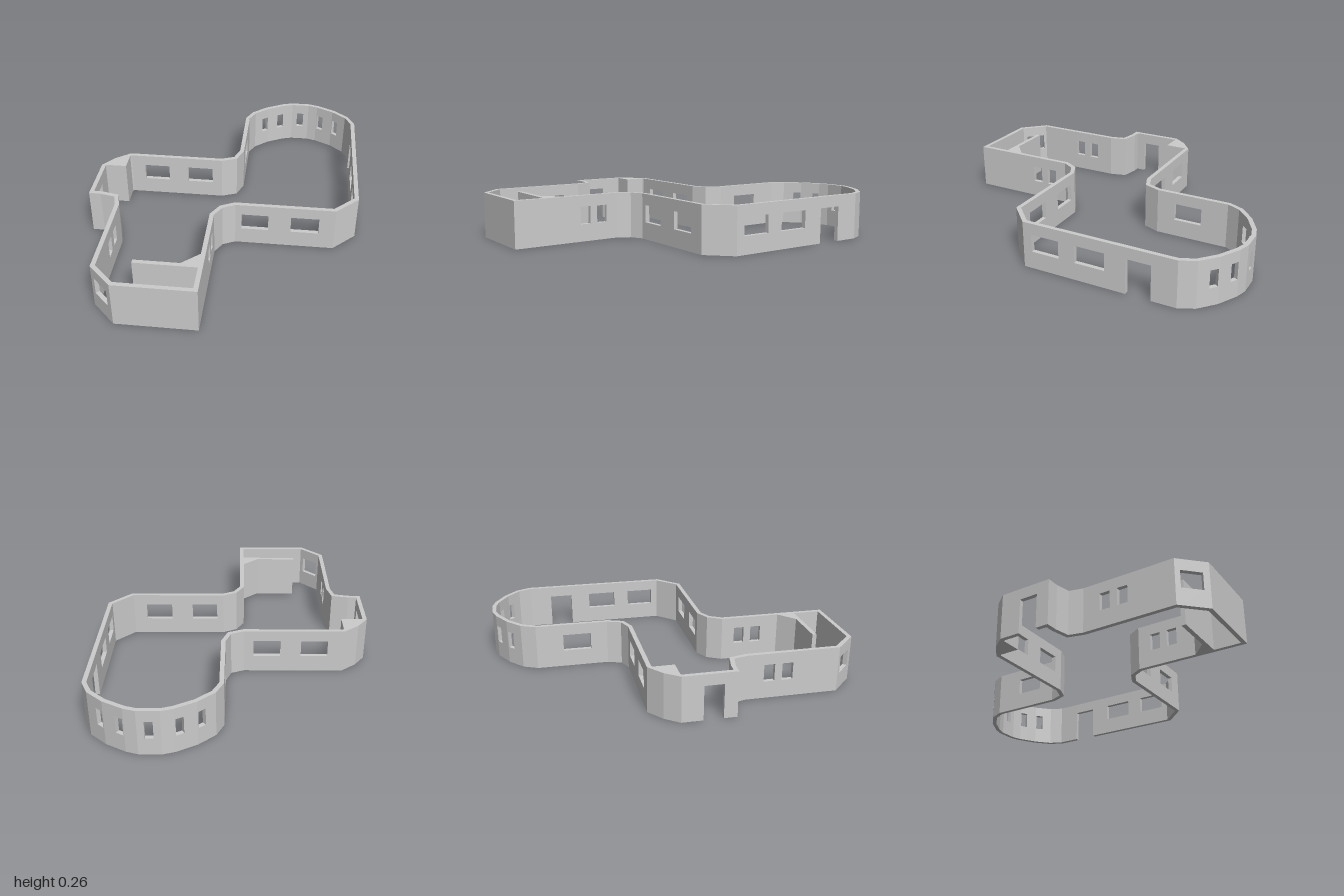
import * as THREE from 'three';

const H = 0.265, T = 0.025;          // wall height and thickness
const LEVELS = [0, 0.1, 0.2, H];     // floor, sill, lintel, top

// Rounded end, left half; the right half mirrors it about ARC_X
const ARC_X = 0.415;
const arcHalf = [[0.05, -0.755], [0.09, -0.84], [0.18, -0.92], [0.29, -0.98], [0.355, -1]];
const flip = ([x, z]) => [2 * ARC_X - x, z];

// Outer outline, clockwise seen from above
const outline = [
  [0.78, 0.13], [0.65, 0.26], [0.08, 0.26], [0.01, 0.295], [-0.03, 0.365],
  [-0.03, 1], [-0.475, 1], [-0.605, 0.87], [-0.605, 0.335], [-0.625, 0.255],
  [-0.71, 0.237], [-0.78, 0.235], [-0.78, -0.07], [-0.72, -0.15], [-0.63, -0.22],
  [-0.055, -0.22], [0.02, -0.25], [0.05, -0.33],
  ...arcHalf, ...arcHalf.map(flip).reverse(),
].map(([x, z]) => new THREE.Vector2(x, z));

// Openings, each given by its two ends on the outline
const windows = [
  [[0.78, 0.08], [0.78, -0.085]], [[0.78, -0.18], [0.78, -0.355]],
  [[0.115, 0.26], [0.27, 0.26]], [[0.4, 0.26], [0.56, 0.26]],
  [[-0.5, 0.975], [-0.585, 0.89]],
  [[-0.11, -0.22], [-0.265, -0.22]], [[-0.385, -0.22], [-0.54, -0.22]],
  [[0.05, -0.43], [0.05, -0.595]],
  [[0.393, -1], [0.437, -1]],
];
for (const x of [-0.03, -0.605])
  for (const z of [0.435, 0.54]) windows.push([[x, z], [x, z + 0.062]]);
for (const w of [[[0.14, -0.885], [0.175, -0.915]], [[0.245, -0.955], [0.284, -0.977]]])
  windows.push(w, w.map(flip));
const doors = [[[0.78, -0.475], [0.78, -0.615]], [[-0.78, 0.05], [-0.78, 0.16]]];

const N = outline.length;
const edges = outline.map((a, i) => {
  const b = outline[(i + 1) % N];
  const dir = b.clone().sub(a), len = dir.length();
  dir.divideScalar(len);
  return { a, dir, len, inward: new THREE.Vector2(-dir.y, dir.x) };
});
let total = 0;
for (const e of edges) { e.start = total; total += e.len; }

// Distance along the outline of the point nearest to (x, z)
function distanceAt([x, z]) {
  const p = new THREE.Vector2(x, z);
  let best = Infinity, s = 0;
  for (const e of edges) {
    const t = THREE.MathUtils.clamp(p.clone().sub(e.a).dot(e.dir), 0, e.len);
    const d = e.a.clone().addScaledVector(e.dir, t).distanceTo(p);
    if (d < best) { best = d; s = e.start + t; }
  }
  return s;
}

function wallGeometry() {
  // Stations: mitred corners plus the square jambs of every opening
  const stations = edges.map((e, i) => {
    const m = e.inward.clone().add(edges[(i + N - 1) % N].inward).normalize();
    return { s: e.start, o: e.a, i: e.a.clone().addScaledVector(m, T / m.dot(e.inward)) };
  });
  const spans = [];
  const cut = (ends, door) => {
    const [from, to] = ends.map(distanceAt).sort((a, b) => a - b);
    spans.push({ from, to, door });
    for (const s of [from, to]) {
      const e = edges.findLast((k) => k.start <= s);
      const o = e.a.clone().addScaledVector(e.dir, s - e.start);
      stations.push({ s, o, i: o.clone().addScaledVector(e.inward, T) });
    }
  };
  windows.forEach((w) => cut(w, false));
  doors.forEach((d) => cut(d, true));
  stations.sort((a, b) => a.s - b.s);

  const M = stations.length;
  const solid = (k, r) => {
    if (r < 0 || r > 2) return false;
    k = (k + M) % M;
    const mid = (stations[k].s + (k + 1 < M ? stations[k + 1].s : total)) / 2;
    const hole = spans.find((h) => mid > h.from && mid < h.to);
    return !hole || r === 2 || (r === 0 && !hole.door);
  };

  const pos = [];
  const quad = (...c) => {
    for (const n of [0, 1, 2, 0, 2, 3]) pos.push(c[n][0].x, c[n][1], c[n][0].y);
  };
  for (let k = 0; k < M; k++) {
    const p = stations[k], q = stations[(k + 1) % M];
    for (let r = 0; r < 3; r++) {
      if (!solid(k, r)) continue;
      const b = LEVELS[r], t = LEVELS[r + 1];
      quad([q.o, b], [p.o, b], [p.o, t], [q.o, t]);
      quad([p.i, b], [q.i, b], [q.i, t], [p.i, t]);
      if (!solid(k, r + 1)) quad([p.o, t], [p.i, t], [q.i, t], [q.o, t]);
      if (!solid(k, r - 1)) quad([p.o, b], [q.o, b], [q.i, b], [p.i, b]);
      if (!solid(k - 1, r)) quad([p.o, b], [p.i, b], [p.i, t], [p.o, t]);
      if (!solid(k + 1, r)) quad([q.i, b], [q.o, b], [q.o, t], [q.i, t]);
    }
  }
  const g = new THREE.BufferGeometry();
  g.setAttribute('position', new THREE.Float32BufferAttribute(pos, 3));
  g.computeVertexNormals();
  return g;
}

// Full-height prism over a floor-plan polygon
function prism(points) {
  const shape = new THREE.Shape(points.map(([x, z]) => new THREE.Vector2(x, -z)));
  return new THREE.ExtrudeGeometry(shape, { depth: H, bevelEnabled: false }).rotateX(-Math.PI / 2);
}

export function createModel() {
  const group = new THREE.Group();
  group.name = 'floorPlanWalls';
  const material = new THREE.MeshStandardMaterial({ color: 0xcccccc, flatShading: true });
  const add = (name, geometry) => {
    const mesh = new THREE.Mesh(geometry, material);
    mesh.name = name;
    group.add(mesh);
  };
  add('outerWall', wallGeometry());
  // Solid infill behind the back corner
  add('cornerInfill', prism([[-0.775, -0.07], [-0.715, -0.145], [-0.63, -0.21], [-0.63, -0.07]]));
  // Inner partition with its angled corner
  add('partitionWall', prism([
    [-0.4, 0.82], [-0.05, 0.82], [-0.05, 0.71], [-0.055, 0.71], [-0.15, 0.795], [-0.4, 0.795],
  ]));
  return group;
}
